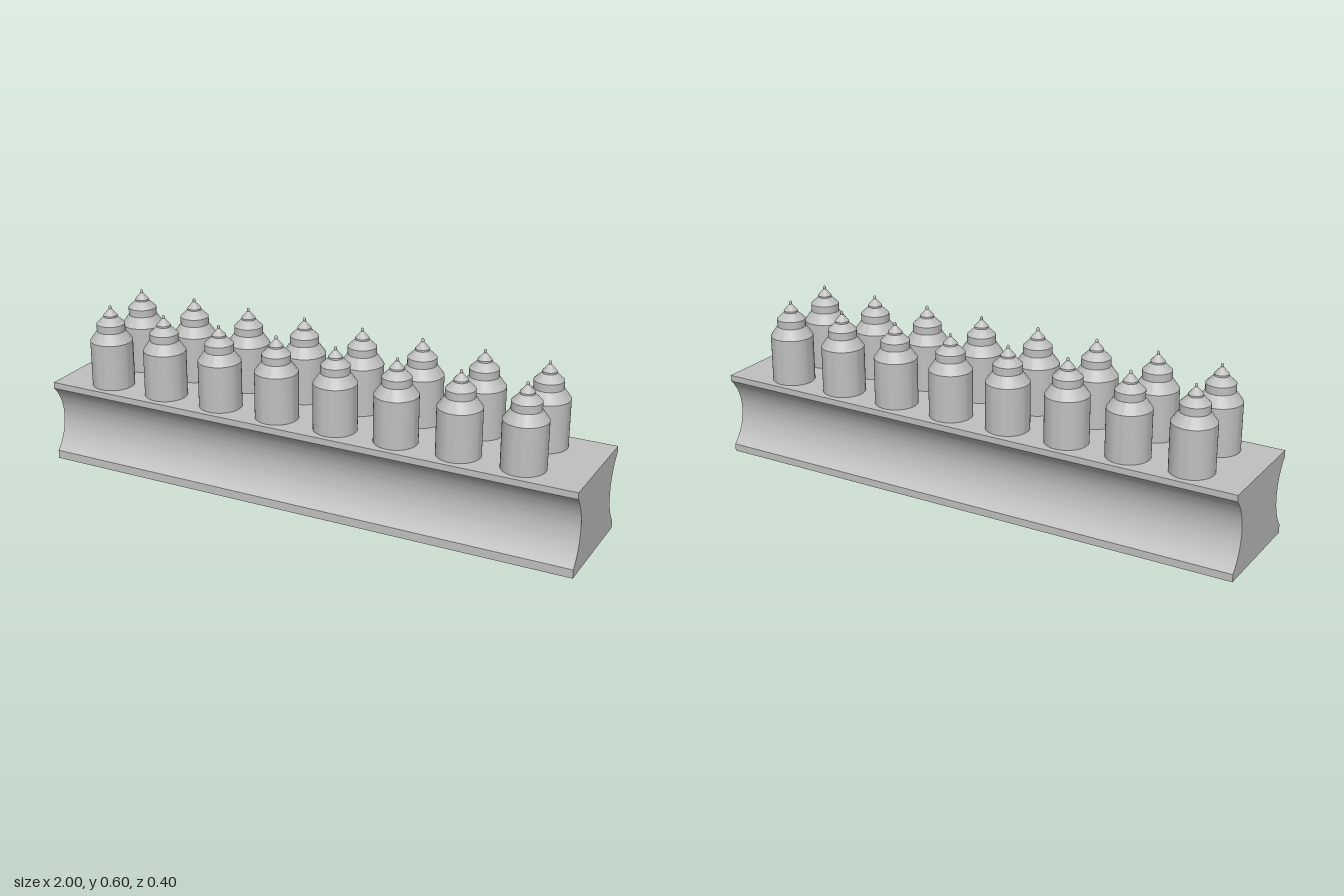
import * as THREE from 'three';
import { toCreasedNormals } from 'three/addons/utils/BufferGeometryUtils.js';

const TOP = 0.302;

// points of a concave arc at x = edge, bulging inwards by sag, from y0 to y1
function groove(edge, y0, y1, sag, steps = 32) {
  const half = (y1 - y0) / 2, mid = (y0 + y1) / 2;
  const radius = (half * half + sag * sag) / (2 * sag);
  const centre = Math.abs(edge) - sag + radius;
  const sweep = Math.asin(half / radius);
  const points = [];
  for (let i = 0; i <= steps; i++) {
    const a = sweep * (2 * i / steps - 1);
    points.push(new THREE.Vector2(Math.sign(edge) * (centre - radius * Math.cos(a)), mid + radius * Math.sin(a)));
  }
  return points;
}

export function createModel() {
  const group = new THREE.Group();
  const grey = new THREE.MeshStandardMaterial({ color: 0xc0c0c0 });
  grey.name = 'light grey';

  // long base with a hollow groove on the front and back
  const section = new THREE.Shape([
    new THREE.Vector2(-0.2, 0),
    new THREE.Vector2(0.2, 0),
    ...groove(0.2, 0.027, 0.28, 0.053),
    new THREE.Vector2(0.2, TOP),
    new THREE.Vector2(-0.2, TOP),
    ...groove(-0.2, 0.031, 0.279, 0.05).reverse(),
  ]);
  const baseGeometry = new THREE.ExtrudeGeometry(section, { depth: 2, bevelEnabled: false });
  baseGeometry.translate(0, 0, -1).rotateY(Math.PI / 2);
  const base = new THREE.Mesh(toCreasedNormals(baseGeometry, 0.3), grey);
  base.name = 'base';
  group.add(base);

  // stepped bottle profile, ending in a small rounded tip
  const profile = [
    [0.0765, TOP], [0.0765, 0.471], [0.051, 0.507], [0.051, 0.534],
    [0.025, 0.559], [0.025, 0.565], [0.005, 0.588], [0.005, 0.595],
  ].map(([r, y]) => new THREE.Vector2(r, y));
  for (let i = 1; i <= 6; i++) {
    const a = i / 6 * Math.PI / 2;
    profile.push(new THREE.Vector2(i === 6 ? 0 : 0.005 * Math.cos(a), 0.595 + 0.005 * Math.sin(a)));
  }
  const bottleGeometry = toCreasedNormals(new THREE.LatheGeometry(profile, 48), 0.4);

  // two rows of eight bottles
  for (const z of [0.102, -0.102]) {
    for (let i = 0; i < 8; i++) {
      const bottle = new THREE.Mesh(bottleGeometry, grey);
      bottle.name = 'bottle';
      bottle.position.set(-0.802 + i * 0.2262, 0, z);
      group.add(bottle);
    }
  }
  return group;
}
